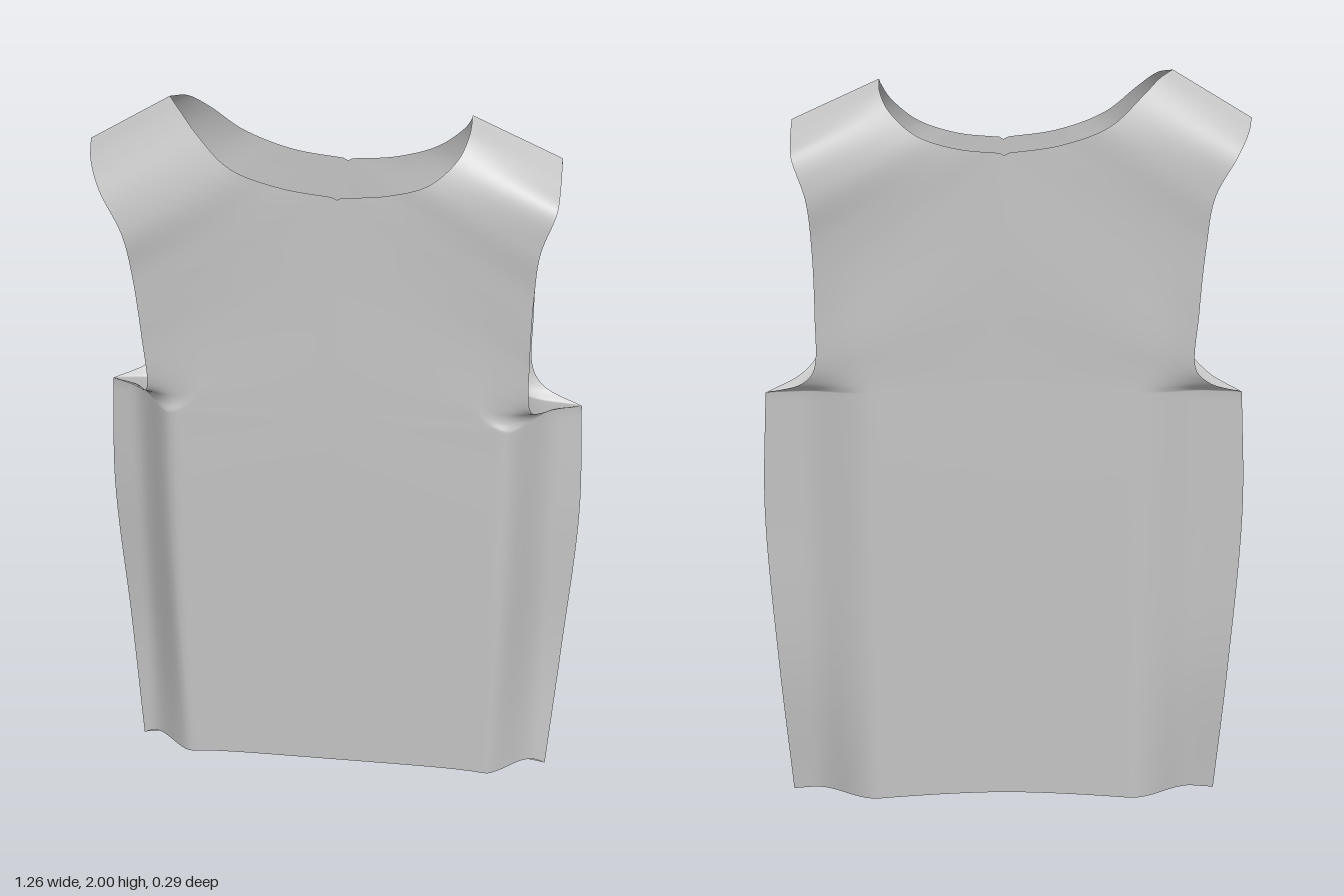
import * as THREE from 'three';

const ROWS = 110, COLS = 40;
const { smoothstep, lerp } = THREE.MathUtils;
const cloth = new THREE.MeshStandardMaterial({ color: 0xc4c4c4, side: THREE.DoubleSide });
cloth.name = 'greyCloth';

// Rails run from hem to shoulder; each point is [x, y, frontZ, backZ].
// Centre line, shared by both halves up to the base of the neck.
const centre = [
  [0, 0.073, 0.13, -0.115], [0, 0.4, 0.13, -0.115], [0, 0.85, 0.128, -0.115], [0, 1.19, 0.125, -0.115],
  [0, 1.24, 0.124, -0.115], [0, 1.32, 0.123, -0.116], [0, 1.53, 0.118, -0.119], [0, 1.81, 0.112, -0.118],
];
// Side seam, from hem to underarm.
const seam = [
  [0.585, 0.005, -0.005, -0.005], [0.61, 0.4, -0.043, -0.043],
  [0.632, 0.85, -0.05, -0.05], [0.618, 1.175, -0.055, -0.055],
];
// Neck and armhole edges; the two shoulders differ slightly.
const halves = {
  left: {
    side: 1,
    neck: [[0.12, 1.822, 0.112, -0.118], [0.22, 1.855, 0.112, -0.115],
      [0.285, 1.912, 0.085, -0.095], [0.307, 1.955, 0.04, -0.065], [0.31, 1.98, -0.025, -0.025]],
    armhole: [[0.52, 1.208, 0.035, -0.085], [0.487, 1.25, 0.1, -0.1], [0.48, 1.4, 0.118, -0.11],
      [0.482, 1.58, 0.122, -0.125], [0.492, 1.7, 0.13, -0.145], [0.525, 1.8, 0.118, -0.13],
      [0.53, 1.84, 0.055, -0.08], [0.53, 1.88, -0.025, -0.025]],
  },
  right: {
    side: -1,
    neck: [[0.14, 1.83, 0.113, -0.117], [0.26, 1.875, 0.115, -0.116],
      [0.34, 1.945, 0.085, -0.09], [0.385, 1.985, 0.045, -0.055], [0.42, 2.0, -0.01, -0.01]],
    armhole: [[0.53, 1.208, 0.035, -0.085], [0.492, 1.25, 0.1, -0.1], [0.495, 1.4, 0.12, -0.11],
      [0.508, 1.58, 0.128, -0.115], [0.525, 1.7, 0.143, -0.122], [0.58, 1.8, 0.115, -0.11],
      [0.61, 1.85, 0.055, -0.06], [0.622, 1.88, -0.01, -0.01]],
  },
};

// Fold beside each seam (depth, x where it starts and ends) and bend of the hem.
const FRONT = { name: 'FrontPanel', face: 1, depth: 0.6, from: 0.42, to: 0.56, hemBend: 6, hemDrop: 0 };
const BACK = { name: 'BackPanel', face: -1, depth: 0.9, from: 0.34, to: 0.53, hemBend: 1.6, hemDrop: 0.024 };

// Two smooth curves meeting at a sharp corner, sampled evenly by point number.
function rail(lower, upper, zIndex) {
  const curve = points => new THREE.CatmullRomCurve3(points.map(p => new THREE.Vector3(p[0], p[1], p[zIndex])));
  const a = curve(lower), b = curve([lower.at(-1), ...upper]);
  const corner = (lower.length - 1) / (lower.length - 1 + upper.length);
  return v => (v <= corner ? a.getPoint(v / corner) : b.getPoint(Math.min(1, (v - corner) / (1 - corner))));
}

// Half of the front or back, stretched between two rails.
function panel({ side, neck, armhole }, { face, depth, from, to, hemBend, hemDrop }) {
  const zIndex = face > 0 ? 2 : 3;
  const inner = rail(centre, neck, zIndex);
  const outer = rail(seam, armhole, zIndex);
  const pos = [], index = [];
  for (let r = 0; r <= ROWS; r++) {
    const v = r / ROWS;
    const a = inner(v), b = outer(v);
    const nearHem = 1 - smoothstep(v, 0, 0.1);
    const aboveFold = smoothstep(v, 0.46, 0.62); // the fold fades out above the underarm
    a.y -= hemDrop * nearHem;
    for (let c = 0; c <= COLS; c++) {
      const t = c / COLS;
      const x = lerp(a.x, b.x, t);
      const folded = depth * smoothstep(x, from, to) + (1 - depth) * Math.max(0, (t - 0.72) / 0.28);
      const drop = lerp(t, t ** hemBend, nearHem);
      pos.push(side * x, lerp(a.y, b.y, drop), lerp(a.z, b.z, lerp(folded, t, aboveFold)));
      if (r < ROWS && c < COLS) {
        const i = r * (COLS + 1) + c, j = i + COLS + 1;
        if (side * face > 0) index.push(i, i + 1, j, i + 1, j + 1, j);
        else index.push(i, j, i + 1, i + 1, j, j + 1);
      }
    }
  }
  const geometry = new THREE.BufferGeometry();
  geometry.setAttribute('position', new THREE.Float32BufferAttribute(pos, 3));
  geometry.setIndex(index);
  geometry.computeVertexNormals();
  return geometry;
}

export function createModel() {
  const top = new THREE.Group();
  top.name = 'sleevelessTop';
  for (const [name, half] of Object.entries(halves)) {
    for (const style of [FRONT, BACK]) {
      const mesh = new THREE.Mesh(panel(half, style), cloth);
      mesh.name = name + style.name;
      top.add(mesh);
    }
  }
  return top;
}
